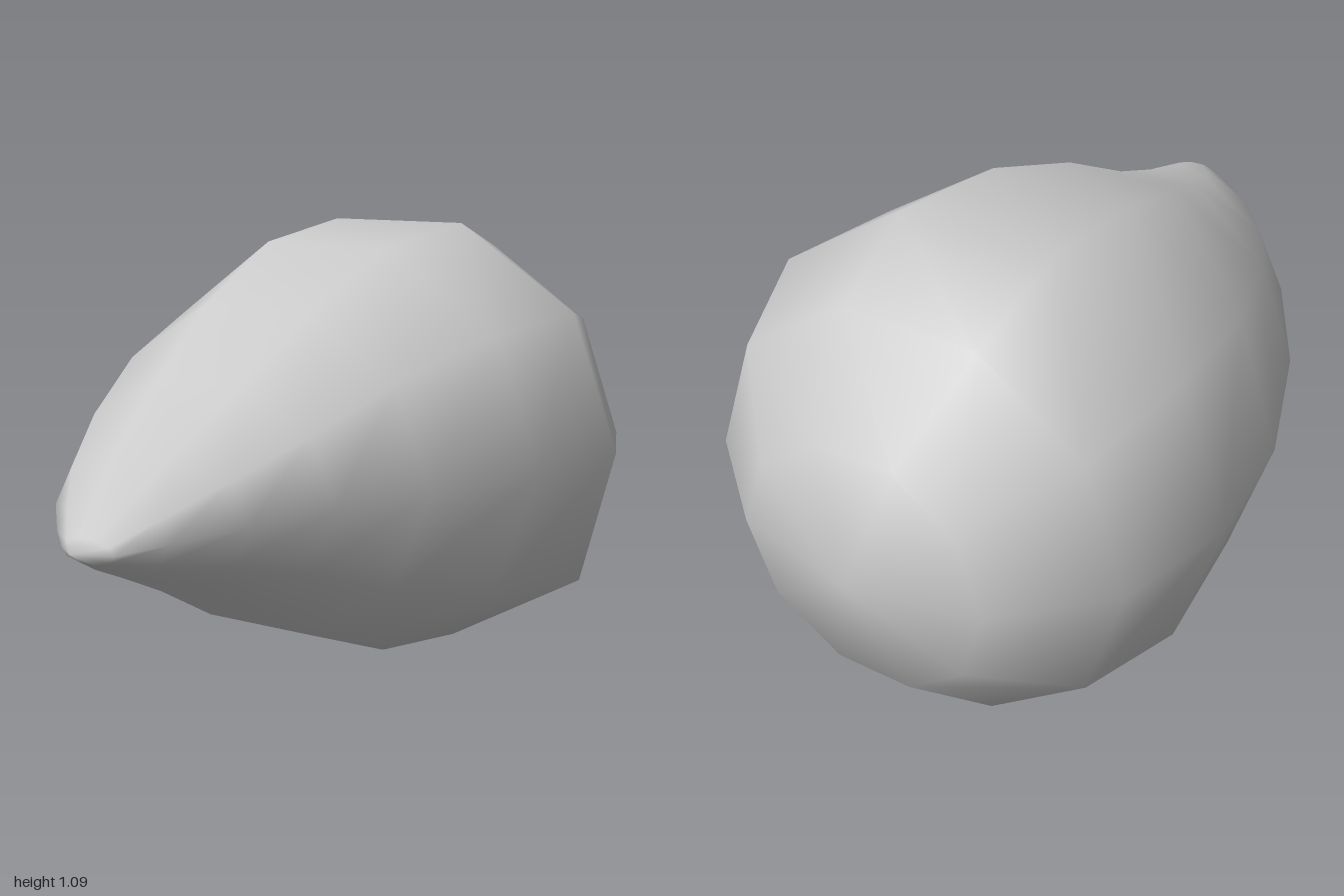
import * as THREE from 'three';

const SIDES = 10;
const MID_Y = 0.547;

// Cross-sections from back to tip: left end x, z, right end x, z, vertical radius
const RINGS = [
  [0.26, -0.94, -0.33, -0.94, 0.29],
  [0.485, -0.75, -0.535, -0.74, 0.495],
  [0.605, -0.49, -0.61, -0.46, 0.575],
  [0.57, -0.15, -0.58, -0.15, 0.53],
  [0.465, 0.16, -0.46, 0.19, 0.4],
  [0.385, 0.4, -0.3, 0.48, 0.255],
  [0.33, 0.63, -0.13, 0.71, 0.15],
  [0.29, 0.83, 0.03, 0.87, 0.075],
  [0.26, 0.955, 0.13, 0.96, 0.025],
];

// Lofts ten-sided rings between a back pole and an off-centre tip
function dropGeometry() {
  const points = [];
  const faces = [];
  RINGS.forEach(([lx, lz, rx, rz, ry], ring) => {
    for (let j = 0; j < SIDES; j++) {
      const a = (j / SIDES) * Math.PI * 2;
      const c = Math.cos(a), s = Math.sin(a);
      // The lower left corner of the widest section bulges slightly
      const bulge = ring === 2 && j === SIDES - 1 ? 0.04 : 0;
      points.push(
        (lx + rx) / 2 + ((lx - rx) / 2) * c - 0.1 * ry * s * s * (ring < 4 ? 0.5 : 0) + bulge,
        MID_Y + ry * s,
        (lz + rz) / 2 + ((lz - rz) / 2) * c,
      );
    }
  });
  const back = RINGS.length * SIDES;
  const tip = back + 1;
  points.push(-0.04, MID_Y, -1, 0.19, MID_Y + 0.003, 1);

  const last = (RINGS.length - 1) * SIDES;
  for (let j = 0; j < SIDES; j++) {
    const k = (j + 1) % SIDES;
    faces.push(back, k, j, tip, last + j, last + k);
    for (let r = 0; r < last; r += SIDES) {
      faces.push(r + j, r + k, r + SIDES + j);
      faces.push(r + k, r + SIDES + k, r + SIDES + j);
    }
  }
  const geometry = new THREE.BufferGeometry();
  geometry.setAttribute('position', new THREE.Float32BufferAttribute(points, 3));
  geometry.setIndex(faces);
  geometry.computeVertexNormals();
  return geometry;
}

export function createModel() {
  const group = new THREE.Group();
  group.name = 'teardrop';
  const body = new THREE.Mesh(dropGeometry(), new THREE.MeshStandardMaterial({ color: 0xcccccc }));
  body.name = 'dropBody';
  group.add(body);
  return group;
}
